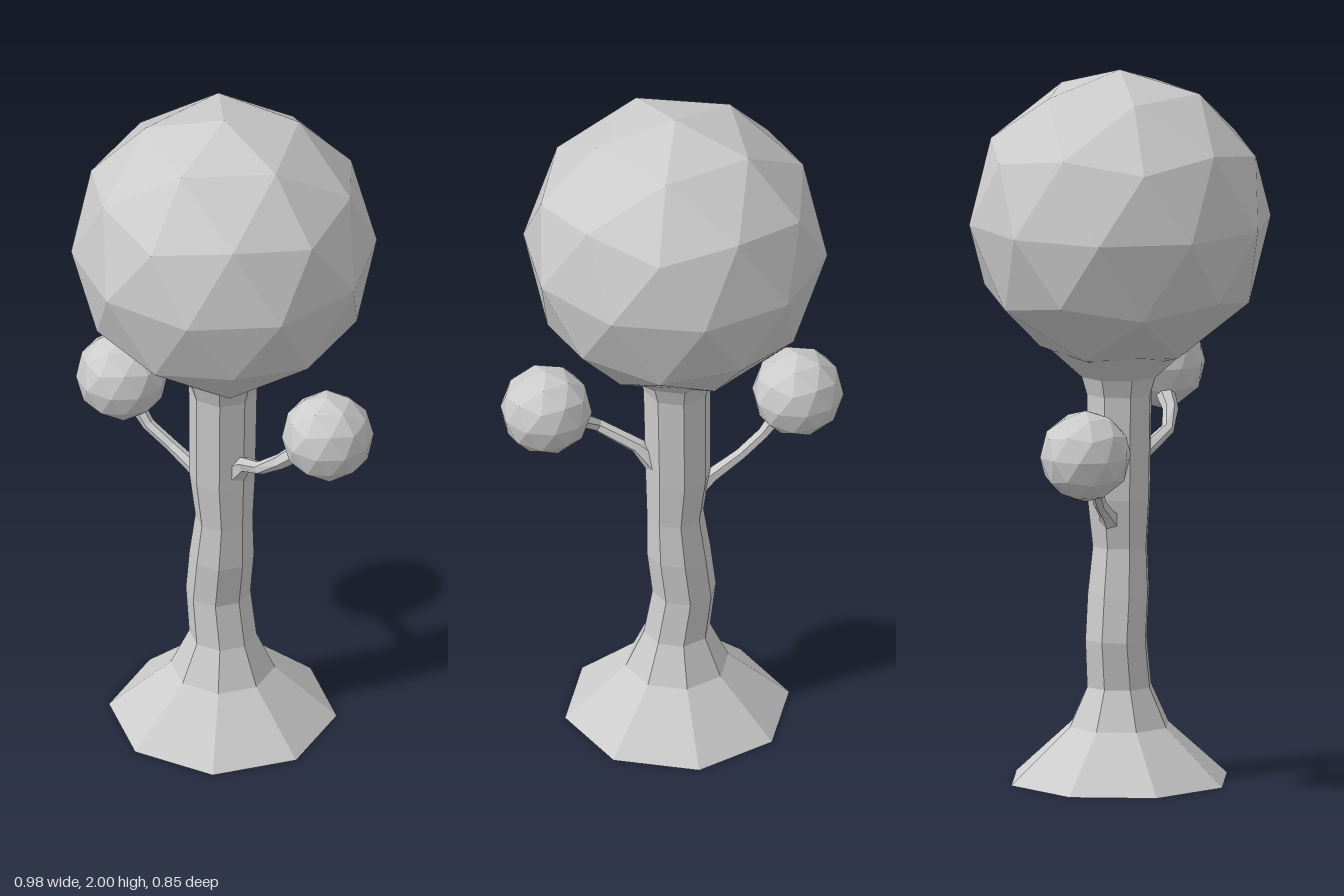
import * as THREE from 'three';

const material = new THREE.MeshStandardMaterial({ color: 0xcccccc, flatShading: true });

// Loft through rings given as [x, y, z, radius]; upright keeps every ring horizontal
function loft(name, rings, sides, upright) {
  const up = new THREE.Vector3(0, 1, 0);
  const centres = rings.map(([x, y, z]) => new THREE.Vector3(x, y, z));
  const positions = [], index = [];
  rings.forEach(([, , , r], k) => {
    const dir = centres[Math.min(k + 1, rings.length - 1)].clone()
      .sub(centres[Math.max(k - 1, 0)]).normalize();
    const turn = new THREE.Quaternion();
    if (!upright) turn.setFromUnitVectors(up, dir);
    for (let i = 0; i < sides; i++) {
      const a = (i / sides) * Math.PI * 2;
      const p = new THREE.Vector3(Math.cos(a) * r, 0, Math.sin(a) * r)
        .applyQuaternion(turn).add(centres[k]);
      positions.push(p.x, p.y, p.z);
      if (k < rings.length - 1) {
        const j = (i + 1) % sides;
        const a0 = k * sides + i, b0 = k * sides + j;
        index.push(a0, a0 + sides, b0, b0, a0 + sides, b0 + sides);
      }
    }
  });
  // Start cap
  for (let i = 1; i < sides - 1; i++) index.push(0, i, i + 1);
  const geometry = new THREE.BufferGeometry();
  geometry.setAttribute('position', new THREE.Float32BufferAttribute(positions, 3));
  geometry.setIndex(index);
  geometry.computeVertexNormals();
  const mesh = new THREE.Mesh(geometry, material);
  mesh.name = name;
  return mesh;
}

// Faceted ball with a vertex at each pole
function foliage(name, radius, x, y, z) {
  const geometry = new THREE.IcosahedronGeometry(radius, 1);
  geometry.rotateZ(-Math.atan(2 / (1 + Math.sqrt(5))));
  const mesh = new THREE.Mesh(geometry, material);
  mesh.position.set(x, y, z);
  mesh.name = name;
  return mesh;
}

export function createModel() {
  const tree = new THREE.Group();
  tree.name = 'tree';

  // Trunk: splayed root, gentle bend, flare into the crown
  tree.add(loft('trunk', [
    [-0.015, 0, 0, 0.317],
    [-0.015, 0.155, 0, 0.145],
    [-0.015, 0.265, 0, 0.094],
    [-0.035, 0.4, 0, 0.09],
    [-0.02, 0.53, 0, 0.09],
    [-0.01, 0.66, 0, 0.08],
    [-0.018, 0.8, 0, 0.092],
    [-0.015, 1.09, 0, 0.095],
    [-0.015, 1.14, 0, 0.11],
    [-0.012, 1.22, 0, 0.2],
  ], 8, true));

  // Branches
  tree.add(loft('rightBranch', [
    [-0.06, 0.73, 0, 0.035],
    [-0.115, 0.765, 0.01, 0.022],
    [-0.2, 0.81, 0.03, 0.018],
    [-0.27, 0.855, 0.055, 0.018],
    [-0.34, 0.94, 0.07, 0.025],
  ], 6));
  tree.add(loft('leftBranch', [
    [0.04, 0.84, 0, 0.04],
    [0.095, 0.895, 0.01, 0.022],
    [0.2, 0.955, 0.045, 0.019],
    [0.26, 1.0, 0.025, 0.022],
    [0.33, 1.07, -0.04, 0.032],
  ], 6));

  // Foliage
  tree.add(foliage('crown', 0.425, -0.01, 1.575, 0));
  tree.add(foliage('rightFoliage', 0.128, -0.37, 0.975, 0.068));
  tree.add(foliage('leftFoliage', 0.128, 0.367, 1.107, -0.06));

  return tree;
}
